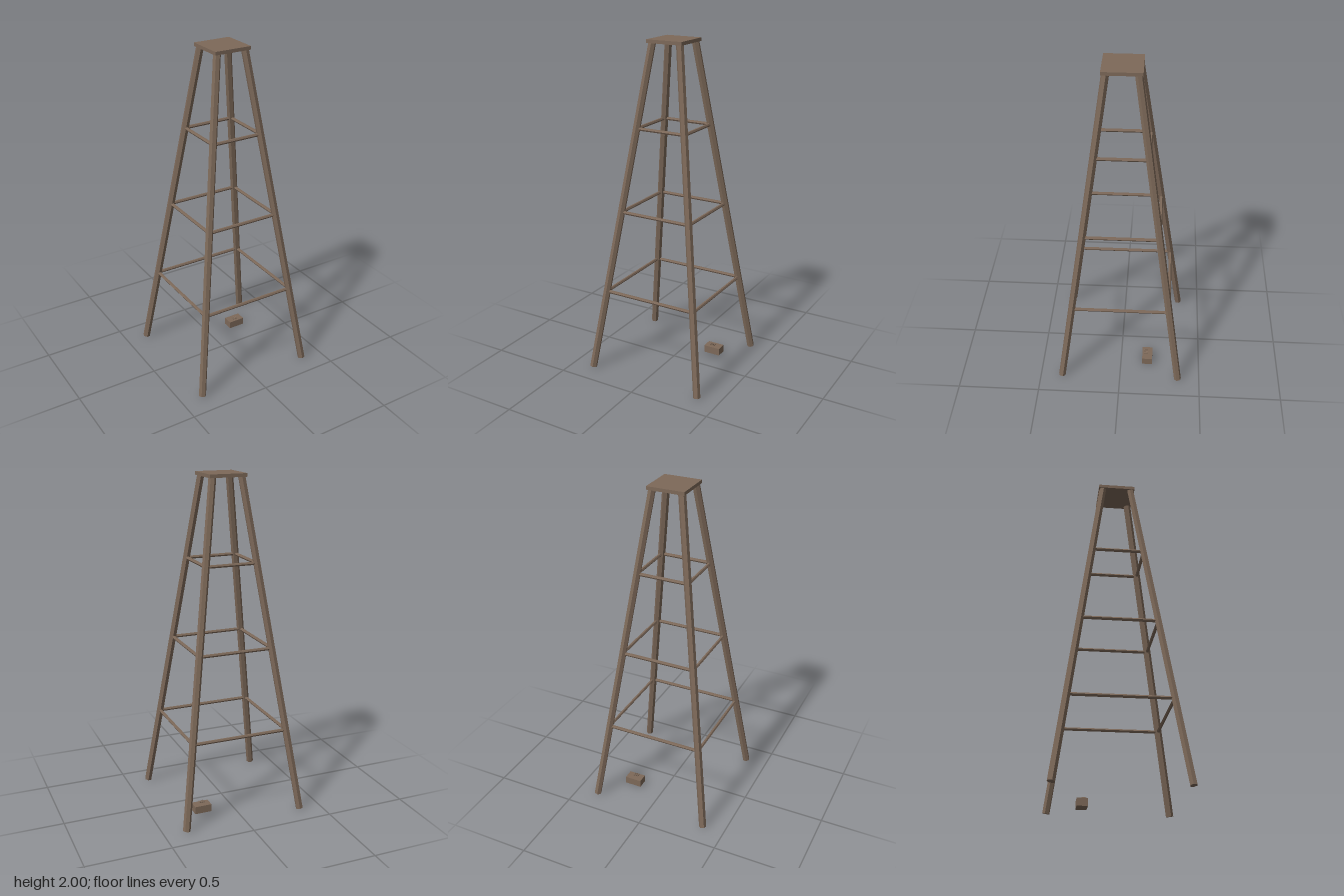
import * as THREE from 'three';

const wood = new THREE.MeshStandardMaterial({ color: 0x7d6959, flatShading: true });
wood.name = 'weathered wood';

// half-width of the tower at a given height
const spread = (y) => 0.366 - 0.14 * y;

function box(name, w, h, d, x, y, z) {
  const mesh = new THREE.Mesh(new THREE.BoxGeometry(w, h, d), wood);
  mesh.name = name;
  mesh.position.set(x, y, z);
  return mesh;
}

// six-sided pole between two points; spin turns its corners about its own axis
function pole(name, a, b, radius, spin = 0) {
  const dir = b.clone().sub(a);
  const geometry = new THREE.CylinderGeometry(radius, radius, dir.length(), 6);
  geometry.rotateY(spin);
  const mesh = new THREE.Mesh(geometry, wood);
  mesh.name = name;
  mesh.position.copy(a).add(b).multiplyScalar(0.5);
  mesh.quaternion.setFromUnitVectors(new THREE.Vector3(0, 1, 0), dir.normalize());
  return mesh;
}

export function createModel() {
  const model = new THREE.Group();
  model.name = 'tower';

  // four splayed legs, one corner of each facing outward
  for (const sx of [-1, 1]) {
    for (const sz of [-1, 1]) {
      const at = (y) => new THREE.Vector3(sx * spread(y), y, sz * spread(y));
      model.add(pole('leg', at(0.004), at(1.982), 0.022, Math.atan2(sx, sz)));
    }
  }

  // three square rings of braces
  for (const y of [0.503, 1, 1.497]) {
    const s = spread(y);
    const ring = new THREE.Group();
    ring.name = 'braceRing';
    for (let i = 0; i < 4; i++) {
      const side = new THREE.Group();
      side.name = 'braceSide';
      side.rotation.y = (i * Math.PI) / 2;
      side.add(pole('brace', new THREE.Vector3(-s, y, s), new THREE.Vector3(s, y, s), 0.01));
      ring.add(side);
    }
    model.add(ring);
  }

  // platform on top
  model.add(box('platform', 0.226, 0.02, 0.226, 0, 1.99, 0));

  // small crate on the ground with three short sticks on it
  model.add(box('crate', 0.104, 0.046, 0.064, 0.198, 0.028, -0.169));
  for (let i = -1; i <= 1; i++) {
    const x = 0.194 + i * 0.012;
    model.add(pole('stick', new THREE.Vector3(x, 0.059, -0.172), new THREE.Vector3(x, 0.059, -0.148), 0.004));
  }

  return model;
}
